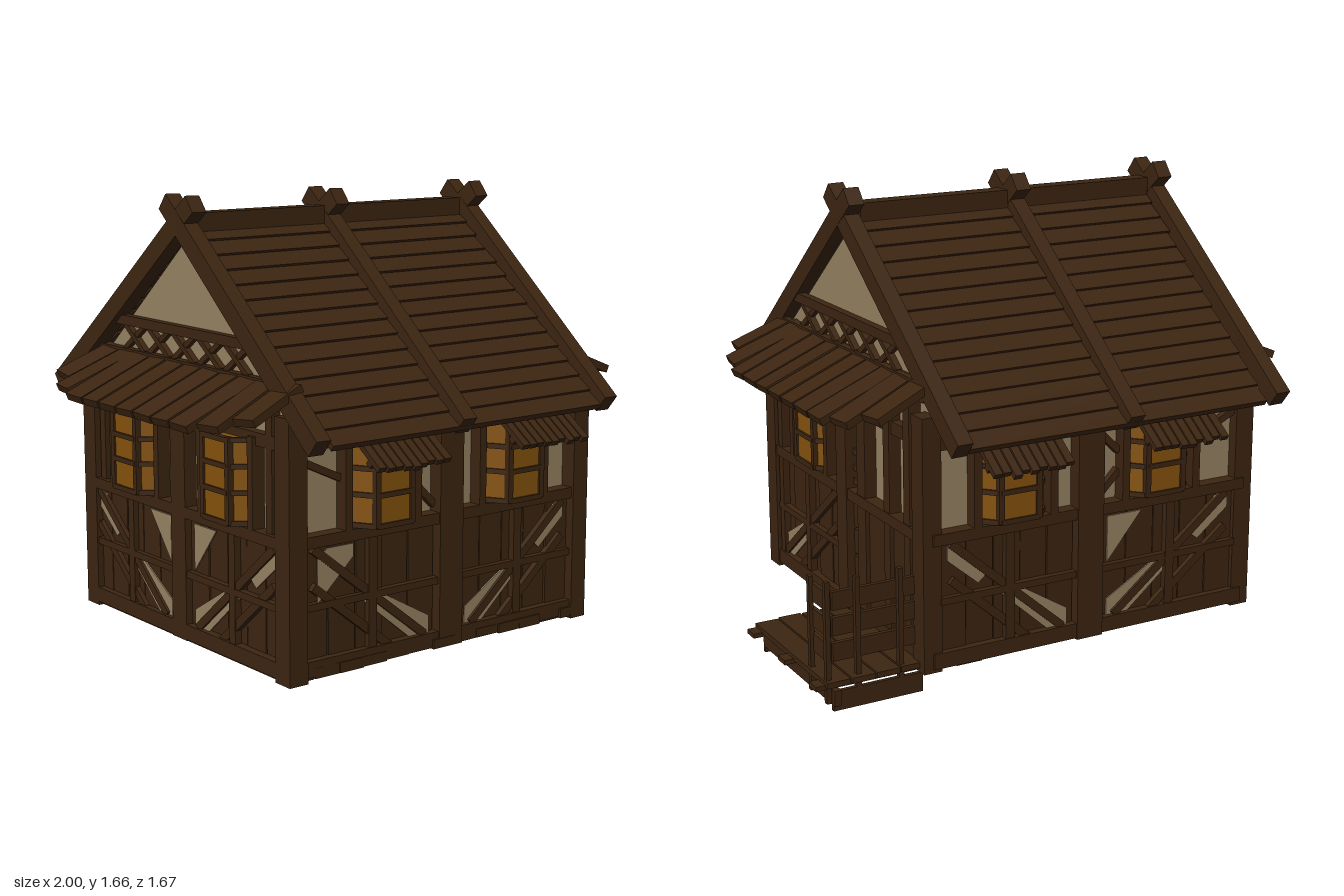
import * as THREE from 'three';

export function createModel() {
  const mat = (name, color, side = THREE.FrontSide) => {
    const m = new THREE.MeshStandardMaterial({ color, side });
    m.name = name;
    return m;
  };
  const wood = mat('dark timber', 0x3c2511);
  const plaster = mat('plaster', 0x958261);
  const glass = mat('amber glass', 0x84520d);

  let seed = 7;
  const rnd = () => ((seed = (seed * 16807) % 2147483647) / 2147483647) - 0.5;

  const house = new THREE.Group();
  house.name = 'timberHouse';

  const add = (parent, name, geo, m) => {
    const mesh = new THREE.Mesh(geo, m);
    mesh.name = name;
    parent.add(mesh);
    return mesh;
  };
  const group = (parent, name) => {
    const g = new THREE.Group();
    g.name = name;
    parent.add(g);
    return g;
  };
  // Box given by its limits on each axis
  const box = (parent, name, m, x0, x1, y0, y1, z0, z1) => {
    const mesh = add(parent, name, new THREE.BoxGeometry(Math.abs(x1 - x0), y1 - y0, z1 - z0), m);
    mesh.position.set((x0 + x1) / 2, (y0 + y1) / 2, (z0 + z1) / 2);
    return mesh;
  };
  // Slanted beam lying in a wall plane
  const beam = (parent, name, ax, ay, bx, by, width, z0, z1) => {
    const geo = new THREE.BoxGeometry(Math.hypot(bx - ax, by - ay), width, z1 - z0);
    const mesh = add(parent, name, geo, wood);
    mesh.position.set((ax + bx) / 2, (ay + by) / 2, (z0 + z1) / 2);
    mesh.rotation.z = Math.atan2(by - ay, bx - ax);
    return mesh;
  };
  // Thin plaster panel from its corners
  const patch = (parent, pts, z) => {
    const shape = new THREE.Shape(pts.map(p => new THREE.Vector2(...p)));
    const geo = new THREE.ExtrudeGeometry(shape, { depth: 0.005, bevelEnabled: false });
    add(parent, 'plasterInfill', geo, plaster).position.z = z;
  };

  // Plaster core with gable ends
  const core = new THREE.Shape([[-0.6, 0.11], [0.6, 0.11], [0.6, 1.0], [0, 1.5], [-0.6, 1.0]]
    .map(p => new THREE.Vector2(...p)));
  const coreGeo = new THREE.ExtrudeGeometry(core, { depth: 1.25, bevelEnabled: false });
  coreGeo.rotateY(Math.PI / 2);
  add(house, 'plasterWalls', coreGeo, plaster).position.x = -0.69;

  // Floor boards
  for (let i = 0; i < 13; i++) {
    const x = -0.73 + i * 0.102;
    box(house, 'floorBoard', wood, x, x + 0.1, 0.09 + rnd() * 0.008, 0.125, -0.635 + rnd() * 0.02, 0.65 + rnd() * 0.02);
  }

  // Bay window with frame and glazing bars
  const bayWindow = (wall, u, half, depth) => {
    const g = group(wall, 'bayWindow');
    g.position.x = u;
    const inner = half * 0.55;
    const plan = new THREE.Shape([[-half, 0], [half, 0], [inner, -depth], [-inner, -depth]]
      .map(p => new THREE.Vector2(...p)));
    const geo = new THREE.ExtrudeGeometry(plan, { depth: 0.29, bevelEnabled: false });
    geo.rotateX(-Math.PI / 2);
    add(g, 'windowGlass', geo, glass).position.y = 0.585;
    for (const s of [-1, 1]) {
      box(g, 'windowJamb', wood, s * half, s * (half + 0.03), 0.57, 0.89, 0, 0.05);
      box(g, 'windowBar', wood, s * inner - 0.011, s * inner + 0.011, 0.58, 0.88, depth - 0.015, depth + 0.007);
    }
    for (const y of [0.585, 0.69, 0.78, 0.87]) {
      box(g, 'windowCrossBar', wood, -inner, inner, y - 0.009, y + 0.009, depth - 0.015, depth + 0.008);
      for (const s of [-1, 1]) {
        const bar = add(g, 'sideCrossBar',
          new THREE.BoxGeometry(Math.hypot(half - inner, depth), 0.018, 0.014), wood);
        bar.position.set(s * (half + inner) / 2, y, depth / 2);
        bar.rotation.y = s * Math.atan2(depth, half - inner);
      }
    }
  };

  // Slatted awning over a front or back window
  const awning = (wall, u, half) => {
    const g = group(wall, 'windowAwning');
    g.position.set(u, 0.92, 0.05);
    g.rotation.x = 0.61;
    for (let i = 0; i < 9; i++) {
      const x = -half + i * half * 2 / 9;
      box(g, 'awningSlat', wood, x, x + half * 0.19, -0.008, 0.012, 0, 0.21 + rnd() * 0.02);
    }
    box(g, 'awningBatten', wood, -half, half, -0.025, -0.008, 0.14, 0.165);
  };

  // Boarded lower panel with braces and plaster showing between them
  const lowerPanel = (wall, u0, u1, dir, open) => {
    const n = 5, w = (u1 - u0) / n;
    for (let i = 0; i < n; i++)
      box(wall, 'panelBoard', wood, u0 + i * w, u0 + (i + 1) * w - 0.004, 0.11, 0.55, 0, 0.022 + rnd() * 0.008);
    const c = (u0 + u1) / 2, h = (u1 - u0) / 2 - 0.03;
    const P = (a, y) => [c + dir * a * h, y];
    if (open > 0) patch(wall, [P(-1, 0.14), P(-1, 0.21), P(0.1, 0.37), P(0.1, 0.31), P(-0.7, 0.14)], 0.027);
    if (open > 1) patch(wall, [P(0.35, 0.4), P(0.8, 0.52), P(1, 0.52), P(1, 0.47), P(0.5, 0.37)], 0.027);
    if (open > 2) patch(wall, [P(-1, 0.35), P(-1, 0.52), P(-0.45, 0.52)], 0.027);
    beam(wall, 'diagonalBrace', ...P(-0.9, 0.15), ...P(0.95, 0.53), 0.03, 0.02, 0.042);
    beam(wall, 'diagonalBrace', ...P(-0.3, 0.14), ...P(0.95, 0.4), 0.03, 0.02, 0.042);
    box(wall, 'panelRail', wood, u0, u1, 0.32, 0.345, 0.02, 0.045);
    box(wall, 'panelPost', wood, c - 0.018, c + 0.018, 0.11, 0.55, 0.02, 0.046);
  };

  const wallGroup = (name, x, z, turn, a, b) => {
    const g = group(house, name);
    g.position.set(x, 0, z);
    g.rotation.y = turn;
    box(g, 'sillBeam', wood, a, b, 0.095, 0.15, 0, 0.05);
    box(g, 'middleRail', wood, a, b, 0.535, 0.575, 0, 0.05);
    box(g, 'topRail', wood, a, b, 0.86, 0.905, 0, 0.035);
    return g;
  };

  // Front and back walls; m mirrors x for the back
  for (const m of [1, -1]) {
    const lo = m > 0 ? -0.7 : -0.58, hi = m > 0 ? 0.58 : 0.7;
    const w = wallGroup(m > 0 ? 'frontWall' : 'backWall', 0, m * 0.6, m > 0 ? 0 : Math.PI, lo, hi);
    box(w, 'middlePost', wood, m * -0.09, m * 0.015, 0.09, 0.97, 0, 0.055);
    lowerPanel(w, Math.min(m * -0.67, m * -0.09), Math.max(m * -0.67, m * -0.09), -m, m > 0 ? 1 : 3);
    lowerPanel(w, Math.min(m * 0.015, m * 0.55), Math.max(m * 0.015, m * 0.55), m, 2);
    if (m > 0) patch(w, [[-0.61, 0.34], [-0.61, 0.49], [-0.57, 0.525], [-0.46, 0.525], [-0.46, 0.48]], 0.035);
    for (const [x, ax] of [[-0.335, -0.34], [0.26, 0.29]]) {
      bayWindow(w, m * x, 0.135, m > 0 ? 0.105 : 0.07);
      awning(w, m * ax, 0.155);
    }
    beam(w, 'upperBrace', m * -0.67, 0.83, m * -0.5, 0.75, 0.025, 0, 0.025);
    beam(w, 'upperBrace', m * -0.17, 0.68, m * -0.09, 0.6, 0.025, 0, 0.025);
    beam(w, 'upperBrace', m * -0.17, 0.75, m * -0.09, 0.83, 0.025, 0, 0.025);
  }

  // Corner posts
  for (const [x0, x1] of [[-0.74, -0.665], [0.545, 0.615]])
    for (const z of [-0.64, 0.58])
      box(house, 'cornerPost', wood, x0, x1, 0.08, 0.98, z, z + 0.08);

  // Gable framing and plank canopy of a side wall
  const sideTop = (w, u0, u1) => {
    box(w, 'gableTie', wood, -0.45, 0.45, 1.17, 1.205, 0, 0.03);
    box(w, 'gableSill', wood, -0.6, 0.6, 1.02, 1.085, 0, 0.03);
    for (let i = -2; i <= 2; i++) {
      beam(w, 'gableBrace', i * 0.16 - 0.07, 1.08, i * 0.16 + 0.07, 1.18, 0.02, 0, 0.018);
      beam(w, 'gableBrace', i * 0.16 - 0.07, 1.18, i * 0.16 + 0.07, 1.08, 0.02, 0, 0.022);
    }
    const g = group(w, 'sideCanopy');
    g.position.set(0, 1.07, 0);
    g.rotation.x = 0.4;
    const n = 11, step = (u1 - u0) / n;
    for (let i = 0; i < n; i++) {
      const e = Math.min(i, n - 1 - i);
      const len = [0.23, 0.3][e] ?? 0.33;
      const p = box(g, 'canopyPlank', wood, u0 + i * step, u0 + (i + 1) * step - 0.01, -0.01, 0.018, 0, len);
      p.rotation.set(0, e < 2 ? (i < 5 ? -0.12 : 0.12) : 0, rnd() * 0.12);
    }
    box(g, 'canopyBatten', wood, u0 + 0.06, u1 - 0.06, -0.035, -0.01, 0.16, 0.19);
  };

  // Left wall with two windows
  const left = wallGroup('leftWall', -0.69, 0, -Math.PI / 2, -0.6, 0.6);
  box(left, 'middlePost', wood, -0.045, 0.045, 0.09, 1.02, 0, 0.05);
  for (const s of [-1, 1]) {
    lowerPanel(left, s > 0 ? 0.045 : -0.6, s > 0 ? 0.6 : -0.045, s, 3);
    bayWindow(left, s * 0.29, 0.135, 0.085);
    box(left, 'wallStud', wood, s * 0.51, s * 0.545, 0.57, 1.02, 0, 0.035);
  }
  sideTop(left, -0.53, 0.69);

  // Right wall: window half and porch half
  const right = wallGroup('rightWall', 0.56, 0, Math.PI / 2, -0.6, 0.6);
  lowerPanel(right, -0.6, -0.02, 1, 1);
  bayWindow(right, -0.285, 0.135, 0.06);
  box(right, 'porchPost', wood, -0.03, 0.05, 0.09, 1.02, 0, 0.055);
  for (const [a, b] of [[0.12, 0.185], [0.33, 0.375], [0.48, 0.525], [-0.57, -0.535]])
    box(right, 'wallStud', wood, a, b, 0.12, 1.02, 0, 0.045);
  box(right, 'doorPanel', wood, 0.12, 0.53, 0.12, 0.56, 0, 0.03);
  for (let i = 0; i < 4; i++)
    for (const [a, b] of [[0.05, 0.12], [0.52, 0.6]])
      box(right, 'porchWallBoard', wood, a, b, 0.13 + i * 0.1, 0.22 + i * 0.1, 0, 0.025);
  for (const y of [0.59, 0.64, 0.7])
    box(right, 'porchSlat', wood, 0.05, 0.12, y, y + 0.022, 0, 0.025);
  sideTop(right, -0.59, 0.63);

  // Roof slopes: overlapping planks and crossing rafters
  for (const s of [1, -1]) {
    const turn = group(house, s > 0 ? 'frontRoof' : 'backRoof');
    turn.rotation.y = s > 0 ? 0 : Math.PI;
    const slope = group(turn, 'roofSlope');
    slope.position.y = 1.55;
    slope.rotation.x = 0.684;
    const n = 14, len = 1.02 / n;
    for (let i = 0; i < n; i++) {
      const z = i * len;
      const p = box(slope, 'roofPlank', wood, s * (-0.67 + rnd() * 0.01), s * (0.53 + rnd() * 0.01), -0.015, 0.007, z, z + len + 0.012);
      p.rotation.x = -0.12;
    }
    for (const x of [-0.715, -0.1, 0.565]) {
      const r = box(slope, 'rafter', wood, s * x - 0.029 + s * 0.002, s * x + 0.029 + s * 0.002, -0.025, 0.045, -0.115, 1.03);
      r.rotation.y = -s * 0.02;
    }
  }
  box(house, 'ridgeBeam', wood, -0.67, 0.53, 1.53, 1.595, -0.035, 0.035);

  // Porch deck, steps and railing
  const porch = group(house, 'porch');
  for (let i = 0; i < 4; i++)
    box(porch, 'deckBoard', wood, 0.6 + i * 0.092, 0.685 + i * 0.092, 0.095, 0.115, -0.61 + rnd() * 0.01, 0.0 + rnd() * 0.02);
  for (const z of [-0.565, -0.31, -0.04])
    box(porch, 'deckJoist', wood, 0.56, 0.995, 0.085, 0.102, z - 0.028, z + 0.028);
  box(porch, 'deckApron', wood, 0.905, 0.93, 0.02, 0.075, -0.6, 0);
  for (const z of [-0.59, -0.015])
    box(porch, 'deckSkirt', wood, 0.595, 0.93, 0, 0.07, z, z + 0.015);
  for (const x of [0.675, 0.835, 0.945])
    box(porch, 'railPost', wood, x - 0.009, x + 0.009, 0.03, 0.46, -0.59, -0.57);
  box(porch, 'railPost', wood, 0.936, 0.952, 0.03, 0.44, -0.46, -0.44);
  for (const y of [0.17, 0.26, 0.35]) {
    box(porch, 'sideRail', wood, 0.61, 0.92, y, y + 0.065, -0.572, -0.555);
    box(porch, 'endRail', wood, 0.925, 0.94, y, y + 0.065, -0.57, -0.44);
  }
  return house;
}
